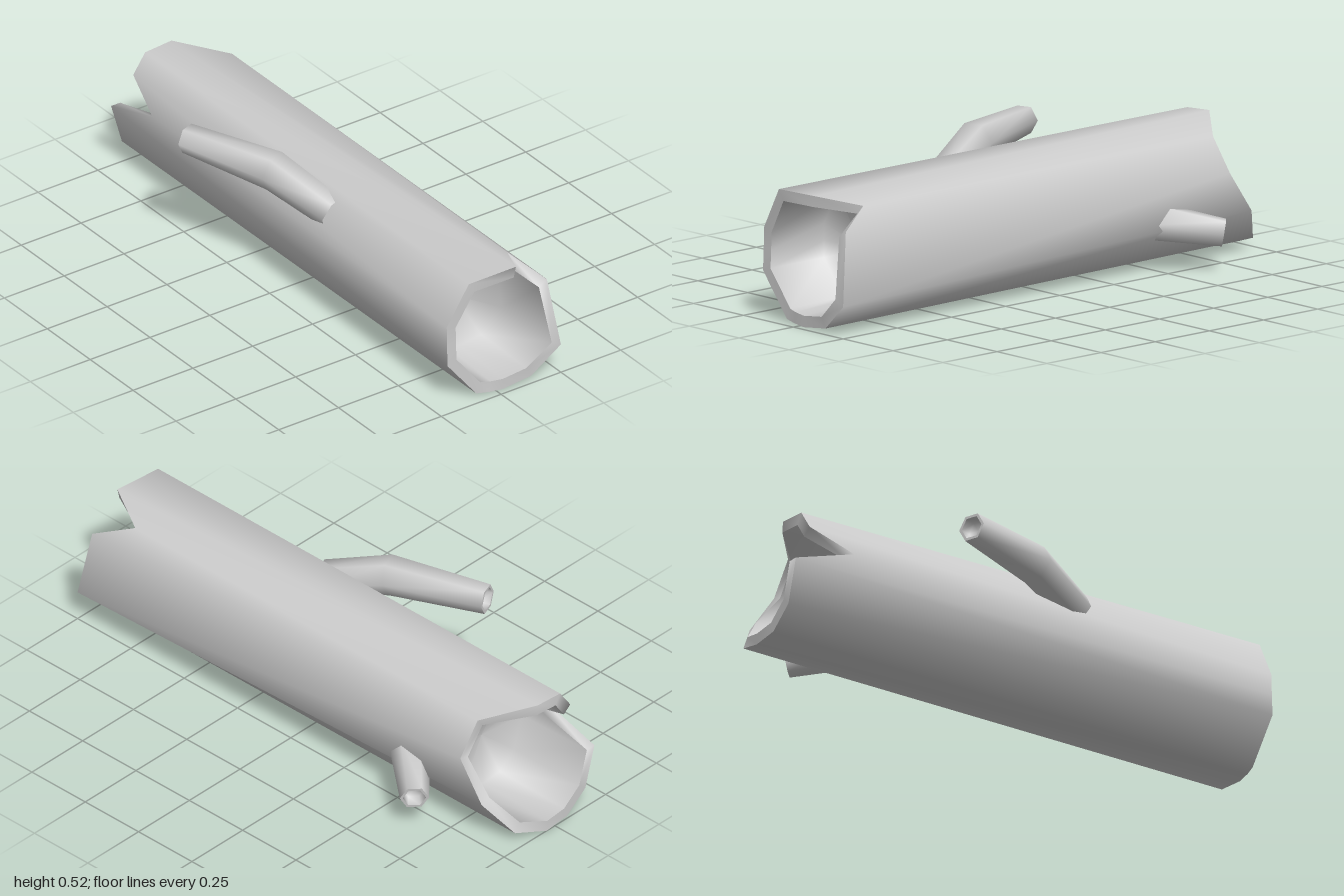
import * as THREE from 'three';

const material = new THREE.MeshStandardMaterial({ color: 0xcccccc, side: THREE.DoubleSide });
const V = (x, y, z) => new THREE.Vector3(x, y, z);

// Skin a series of closed rings (arrays of Vector3) with smooth normals
function loft(rings) {
  const n = rings[0].length, index = [];
  for (let r = 0; r < rings.length - 1; r++) {
    for (let i = 0; i < n; i++) {
      const j = (i + 1) % n, a = r * n, b = a + n;
      index.push(a + i, b + i, b + j, a + i, b + j, a + j);
    }
  }
  const g = new THREE.BufferGeometry().setFromPoints(rings.flat());
  g.setIndex(index);
  g.computeVertexNormals();
  return g;
}

function add(group, name, rings) {
  const mesh = new THREE.Mesh(loft(rings), material);
  mesh.name = name;
  group.add(mesh);
}

// Trunk ends as [z, y, x], running from the lower front over the top to the back
const LEFT_END = [
  [0.15, 0.08, -1], [0.195, 0.235, -1], [0.195, 0.31, -0.76], [0.16, 0.385, -0.92],
  [0.11, 0.457, -0.92], [0, 0.465, -0.92], [-0.16, 0.42, -0.79], [-0.245, 0.305, -0.79],
  [-0.245, 0.16, -0.89], [-0.165, 0.04, -0.97], [-0.04, 0, -1], [0.06, 0.01, -1],
];
const RIGHT_END = [
  [0.075, 0.01, 0.96], [0.195, 0.16, 0.96], [0.195, 0.235, 0.957], [0.195, 0.31, 0.955],
  [0.11, 0.457, 0.965], [-0.08, 0.465, 0.975], [-0.155, 0.42, 0.82], [-0.22, 0.36, 0.96],
  [-0.25, 0.11, 1], [-0.14, 0.015, 0.98], [-0.025, 0, 0.975], [0.03, 0.005, 0.97],
];
const toRing = (end) => end.map(([z, y, x]) => V(x, y, z));

// Shrink a ring towards the trunk's centre line, optionally flattening it at a given x
const shrink = (ring, s, x) => ring.map((p) =>
  V(x ?? p.x, 0.235 + (p.y - 0.235) * s, -0.025 + (p.z + 0.025) * s));

function makeTrunk() {
  const trunk = new THREE.Group();
  trunk.name = 'trunk';
  const left = toRing(LEFT_END), right = toRing(RIGHT_END);
  add(trunk, 'bark', [left, right]);
  // Broken rim and hollow at each end
  const innerL = shrink(left, 0.83), innerR = shrink(right, 0.83);
  add(trunk, 'rightRim', [right, innerR]);
  add(trunk, 'rightHollow', [innerR, shrink(innerR, 0.96, 0.72), shrink(innerR, 0, 0.7)]);
  add(trunk, 'leftRim', [innerL, left]);
  add(trunk, 'leftHollow', [shrink(innerL, 0, -0.68), shrink(innerL, 0.96, -0.7), innerL]);
  return trunk;
}

// Six-sided branch stub along a bent path, with a shallow hollow at its tip
function makeBranch(name, path, radii) {
  const branch = new THREE.Group();
  branch.name = name;
  const last = path.length - 1;
  const ringAt = (k, scale = 1, sink = 0) => {
    const dir = path[Math.min(k + 1, last)].clone().sub(path[Math.max(k - 1, 0)]).normalize();
    const u = dir.clone().cross(V(0, 1, 0)).normalize();
    const v = u.clone().cross(dir);
    return Array.from({ length: 6 }, (_, i) => {
      const a = i * Math.PI / 3, r = radii[k] * scale;
      return path[k].clone().addScaledVector(dir, -sink)
        .addScaledVector(u, r * Math.cos(a)).addScaledVector(v, r * Math.sin(a));
    });
  };
  add(branch, name + 'Bark', path.map((_, k) => ringAt(k)));
  add(branch, name + 'Rim', [ringAt(last), ringAt(last, 0.8)]);
  add(branch, name + 'Hollow', [ringAt(last, 0.8), ringAt(last, 0.75, 0.04), ringAt(last, 0, 0.04)]);
  return branch;
}

export function createModel() {
  const model = new THREE.Group();
  model.name = 'hollowLog';
  model.add(makeTrunk());
  model.add(makeBranch('frontBranch',
    [V(0.2, 0.375, 0.13), V(-0.03, 0.457, 0.21), V(-0.37, 0.462, 0.33)], [0.06, 0.07, 0.052]));
  model.add(makeBranch('backBranch',
    [V(-0.49, 0.175, -0.18), V(-0.67, 0.133, -0.345)], [0.07, 0.05]));
  return model;
}
